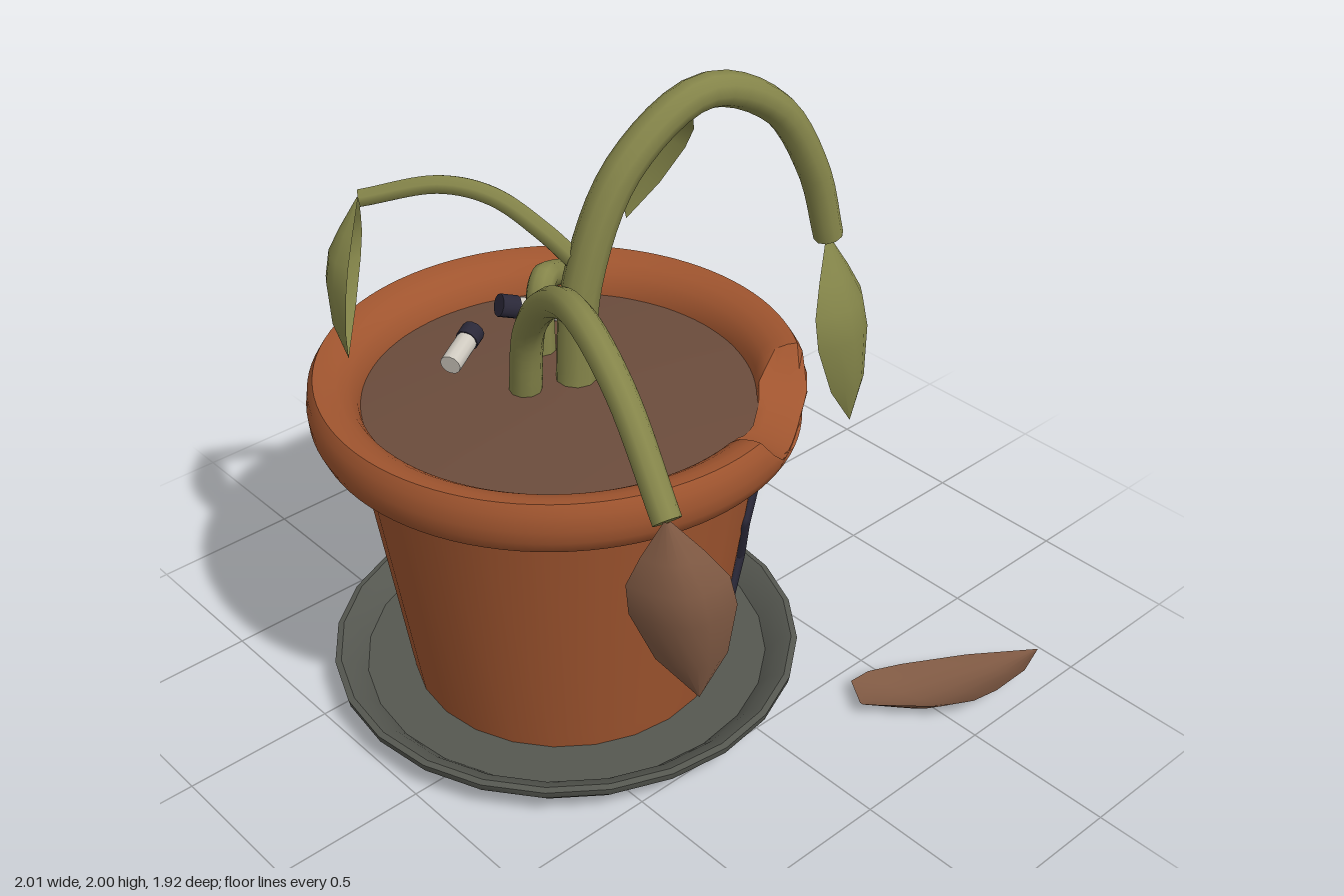
import * as THREE from 'three';
import { toCreasedNormals } from 'three/addons/utils/BufferGeometryUtils.js';

const CX = -0.225, CZ = -0.185; // pot axis
const V = (a) => new THREE.Vector3(...a);
const mat = (color, side = THREE.FrontSide) => new THREE.MeshStandardMaterial({ color, side });

const terracotta = mat(0xa0552f);
const soilMat = mat(0x6b4c3c);
const saucerMat = mat(0x555750);
const stemMat = mat(0x85854a);
const leafMat = mat(0x85864a, THREE.DoubleSide);
const deadLeafMat = mat(0x7f5943, THREE.DoubleSide);
const darkMat = mat(0x2a2838);
const paperMat = mat(0xcfcac0);

function add(parent, name, geo, material) {
  const mesh = new THREE.Mesh(geo, material);
  mesh.name = name;
  parent.add(mesh);
  return mesh;
}

function lathe(points, segments) {
  return new THREE.LatheGeometry(points.map(([r, y]) => new THREE.Vector2(r, y)), segments);
}

// Tapered tube along a curve, closed by a flat disc at its end
function stem(parent, name, curve, r0, r1, sides = 10, steps = 32) {
  const group = new THREE.Group();
  group.name = name;
  parent.add(group);
  const geo = new THREE.TubeGeometry(curve, steps, r0, sides);
  const pos = geo.attributes.position, v = new THREE.Vector3();
  for (let i = 0; i < pos.count; i++) {
    const t = Math.floor(i / (sides + 1)) / steps;
    const c = curve.getPointAt(t);
    v.fromBufferAttribute(pos, i).sub(c).multiplyScalar(1 + (r1 / r0 - 1) * t).add(c);
    pos.setXYZ(i, v.x, v.y, v.z);
  }
  add(group, name + 'Stalk', geo, stemMat);
  const cap = add(group, name + 'Tip', new THREE.CircleGeometry(r1, sides), stemMat);
  const end = curve.getPointAt(1);
  cap.position.copy(end);
  cap.lookAt(end.clone().add(curve.getTangentAt(1)));
}

// Cupped leaf from cross-sections: half-width vector and bulge of the midrib
const LEAF_T = [0, 0.18, 0.32, 0.48, 0.75, 1];
const LEAF_W = [0.06, 0.6, 0.95, 1, 0.68, 0];
function leaf(parent, name, base, tip, half, bulge, material, widths = LEAF_W) {
  const verts = [], index = [], cols = 7;
  LEAF_T.forEach((t, i) => {
    for (let j = 0; j < cols; j++) {
      const s = (j / (cols - 1)) * 2 - 1, w = widths[i];
      const p = V(base).lerp(V(tip), t)
        .addScaledVector(V(half), s * w)
        .addScaledVector(V(bulge), (1 - s * s) * w);
      verts.push(p.x, p.y, p.z);
      if (i && j) {
        const a = i * cols + j, b = a - cols;
        index.push(b - 1, a - 1, a, b - 1, a, b);
      }
    }
  });
  const geo = new THREE.BufferGeometry();
  geo.setAttribute('position', new THREE.Float32BufferAttribute(verts, 3));
  geo.setIndex(index);
  geo.computeVertexNormals();
  add(parent, name, geo, material);
}

// Cylinder between two points
function rod(parent, name, a, b, r, material) {
  const d = V(b).sub(V(a));
  const mesh = add(parent, name, new THREE.CylinderGeometry(r, r, d.length(), 12), material);
  mesh.position.copy(V(a)).addScaledVector(d, 0.5);
  mesh.quaternion.setFromUnitVectors(new THREE.Vector3(0, 1, 0), d.normalize());
}

// Rim with a chipped-out notch towards the front left
function rimGeometry() {
  const geo = lathe([[0.635, 0.93], [0.66, 0.965], [0.715, 0.99], [0.755, 1.02], [0.772, 1.06],
    [0.775, 1.1], [0.768, 1.15], [0.75, 1.18], [0.72, 1.178], [0.68, 1.165], [0.645, 1.14],
    [0.62, 1.1], [0.61, 1.06], [0.605, 1.0]], 96);
  const pos = geo.attributes.position;
  for (let i = 0; i < pos.count; i++) {
    const x = pos.getX(i), z = pos.getZ(i), r = Math.hypot(x, z);
    const d = Math.atan2(x, z) - 0.59, k = d / 0.36;
    if (Math.abs(k) >= 1) continue;
    const bowl = Math.sqrt(1 - k * k);
    const h = 1.18 - bowl * (0.16 - 0.045 * Math.max(0, (0.775 - r) / 0.165));
    if (pos.getY(i) <= h) continue;
    const scale = Math.min(r, 0.745 / Math.cos(d)) / r;
    pos.setXYZ(i, x * scale, h, z * scale);
  }
  return toCreasedNormals(geo, 0.7);
}

export function createModel() {
  const model = new THREE.Group();
  model.name = 'wiltedPottedPlant';

  // Pot, soil and saucer share one axis
  const pot = new THREE.Group();
  pot.name = 'pot';
  pot.position.set(CX, 0, CZ);
  model.add(pot);
  add(pot, 'saucer', toCreasedNormals(lathe([[0, 0], [0.655, 0], [0.7, 0.02], [0.77, 0.09], [0.775, 0.115],
    [0.755, 0.12], [0.71, 0.1], [0.67, 0.06], [0, 0.06]], 24), 0.6), saucerMat);
  add(pot, 'potBody', lathe([[0.511, 0.06], [0.52, 0.12], [0.635, 0.93]], 24), terracotta);
  add(pot, 'rim', rimGeometry(), terracotta);
  add(pot, 'soil', lathe([[0.625, 1.07], [0.45, 1.085], [0.2, 1.098], [0, 1.1]], 24), soilMat);

  // Zigzag crack lying on the pot wall
  const crack = new THREE.CurvePath();
  const crackPoints = [[0.13, 0.96], [0.155, 0.84], [0.08, 0.7], [0.115, 0.53], [0.05, 0.37], [0.065, 0.26]]
    .map(([x, y]) => {
      const r = 0.52 + (y - 0.12) * 0.142;
      return new THREE.Vector3(x, y, CZ + Math.sqrt(r * r - (x - CX) ** 2));
    });
  for (let i = 1; i < crackPoints.length; i++) {
    crack.add(new THREE.LineCurve3(crackPoints[i - 1], crackPoints[i]));
  }
  add(model, 'crack', new THREE.TubeGeometry(crack, 60, 0.021, 6), darkMat);

  // Drooping stems
  const spline = (pts) => new THREE.CatmullRomCurve3(pts.map(V));
  const plant = new THREE.Group();
  plant.name = 'plant';
  model.add(plant);
  stem(plant, 'mainStem', spline([[-0.16, 1.07, -0.18], [-0.13, 1.43, -0.175], [0.02, 1.77, -0.15],
    [0.3, 1.945, -0.11], [0.57, 1.83, -0.07], [0.73, 1.57, -0.04], [0.8, 1.315, -0.025]]), 0.066, 0.05);
  stem(plant, 'frontStem', spline([[-0.315, 1.07, -0.24], [-0.345, 1.35, -0.17], [-0.41, 1.55, 0.02],
    [-0.485, 1.625, 0.23], [-0.56, 1.53, 0.49], [-0.62, 1.27, 0.74]]), 0.052, 0.042);
  stem(plant, 'backStem', spline([[-0.12, 1.47, -0.18], [-0.2, 1.59, -0.27], [-0.3, 1.7, -0.38],
    [-0.41, 1.735, -0.49], [-0.6, 1.7, -0.635]]), 0.035, 0.03, 6);

  // Snapped stub with a tight bend
  stem(plant, 'brokenStem', spline([[-0.13, 1.07, -0.385], [-0.13, 1.2, -0.385], [-0.125, 1.3, -0.388],
    [-0.095, 1.335, -0.405], [-0.05, 1.32, -0.43], [0.04, 1.275, -0.48]]), 0.048, 0.042);

  // Hanging leaves
  leaf(plant, 'endLeaf', [0.8, 1.31, -0.03], [0.89, 0.58, 0.04], [0.165, 0, -0.065], [0.03, 0, 0.09], leafMat);
  leaf(plant, 'middleLeaf', [0.25, 1.93, -0.12], [0.23, 1.44, -0.38], [0.118, 0, 0], [0, 0.05, -0.07], leafMat);
  leaf(plant, 'backLeaf', [-0.6, 1.7, -0.64], [-0.7, 1.19, -0.62], [-0.09, 0, 0.09], [-0.06, 0, -0.06], leafMat);
  leaf(plant, 'witheredLeaf', [-0.62, 1.27, 0.74], [-0.53, 0.63, 0.78], [0.125, 0, 0.085], [-0.04, 0, 0.08],
    deadLeafMat);

  // Fallen leaf on the floor
  leaf(model, 'fallenLeaf', [0.3, 0.05, 0.69], [0.91, 0.08, 0.92], [-0.055, 0.02, -0.18].map((v, i) => i === 1 ? v : -v),
    [0, -0.06, 0], deadLeafMat, [0.06, 0.85, 1, 0.9, 0.55, 0]);

  // Two stubbed-out butts: pale paper with a dark end
  [[[0.04, 1.115, -0.51], [-0.15, 1.185, -0.572]], [[-0.46, 1.155, -0.425], [-0.31, 1.185, -0.5]]]
    .forEach(([pale, dark], i) => {
      const butt = new THREE.Group();
      butt.name = 'butt' + (i + 1);
      model.add(butt);
      const joint = V(dark).lerp(V(pale), 0.3).toArray();
      rod(butt, 'buttPaper', pale, joint, 0.034, paperMat);
      rod(butt, 'buttEnd', joint, dark, 0.038, darkMat);
    });

  return model;
}
